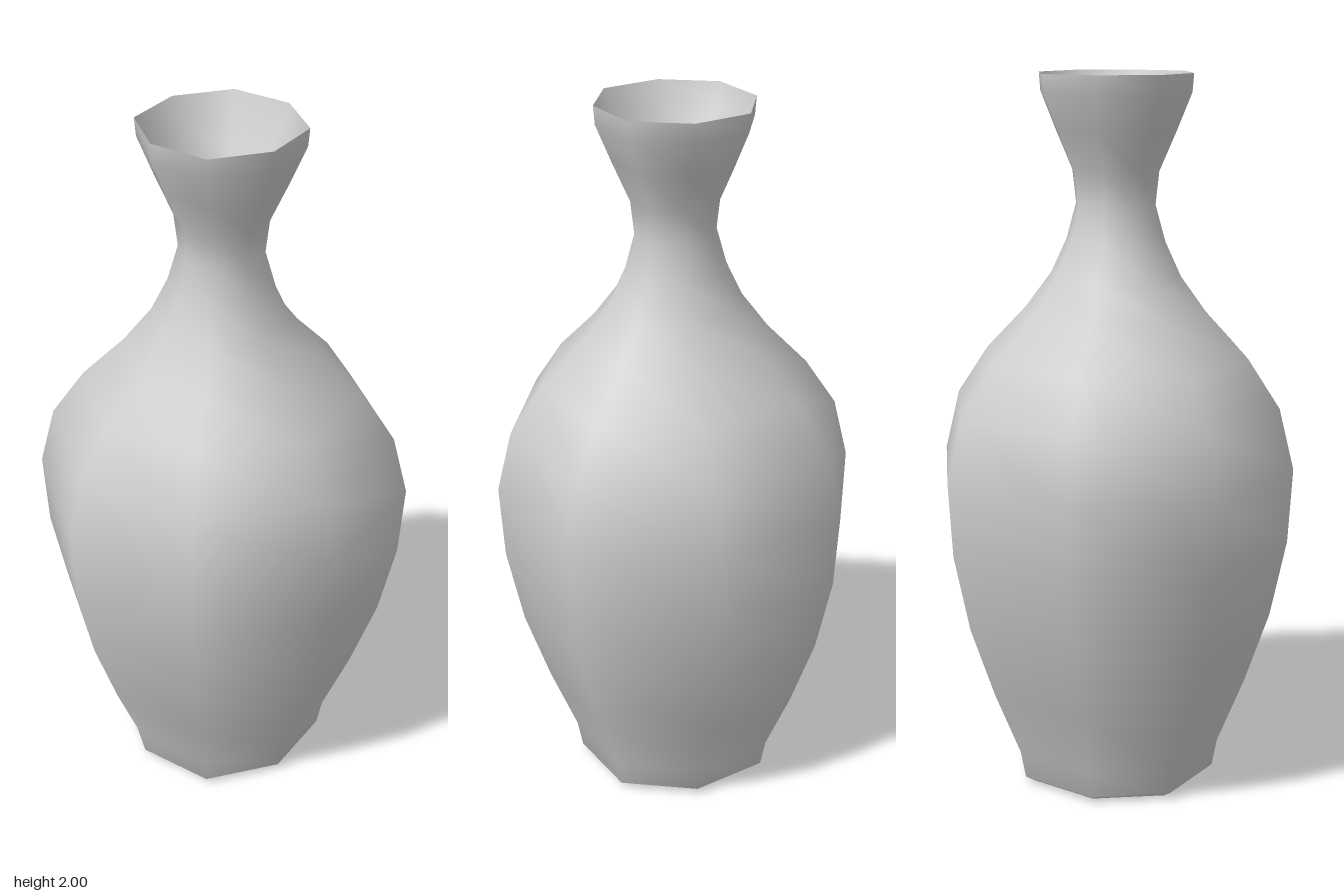
import * as THREE from 'three';
import { mergeVertices } from 'three/addons/utils/BufferGeometryUtils.js';

const SIDES = 8;

// Eight-sided turned surface whose diagonal corners sit slightly further out
function turned(profile) {
  let geo = new THREE.LatheGeometry(profile.map(([r, y]) => new THREE.Vector2(r, y)), SIDES);
  const pos = geo.attributes.position;
  for (let i = 0; i < pos.count; i++) {
    const angle = Math.atan2(pos.getX(i), pos.getZ(i));
    const k = 1 + 0.035 * Math.sin(2 * angle) ** 2;
    pos.setXYZ(i, pos.getX(i) * k, pos.getY(i), pos.getZ(i) * k);
  }
  // weld the seam so the shading runs smoothly all round
  geo.deleteAttribute('uv');
  geo.deleteAttribute('normal');
  geo = mergeVertices(geo, 1e-4);
  geo.computeVertexNormals();
  return geo;
}

export function createModel() {
  const group = new THREE.Group();
  group.name = 'vase';
  const material = new THREE.MeshStandardMaterial({ color: 0xcccccc });

  const add = (name, profile) => {
    const mesh = new THREE.Mesh(turned(profile), material);
    mesh.name = name;
    group.add(mesh);
  };

  // base, belly, shoulder, neck and flared mouth, from the bottom up
  add('outerBody', [
    [0, 0], [0.26, 0], [0.29, 0.02], [0.305, 0.1], [0.38, 0.29], [0.45, 0.5],
    [0.495, 0.72], [0.507, 0.93], [0.465, 1.1], [0.375, 1.235], [0.26, 1.355],
    [0.185, 1.455], [0.14, 1.55], [0.112, 1.65], [0.122, 1.74], [0.17, 1.85],
    [0.211, 1.95], [0.215, 2],
  ]);

  // funnel mouth, narrow throat, hollow belly and floor, from the rim down
  add('innerWall', [
    [0.215, 2], [0.195, 1.95], [0.14, 1.85], [0.065, 1.74], [0.043, 1.65],
    [0.07, 1.55], [0.12, 1.44], [0.2, 1.33], [0.31, 1.21], [0.4, 1.08],
    [0.44, 0.92], [0.43, 0.72], [0.385, 0.5], [0.315, 0.29], [0.24, 0.1],
    [0.22, 0.07], [0, 0.07],
  ]);

  return group;
}
